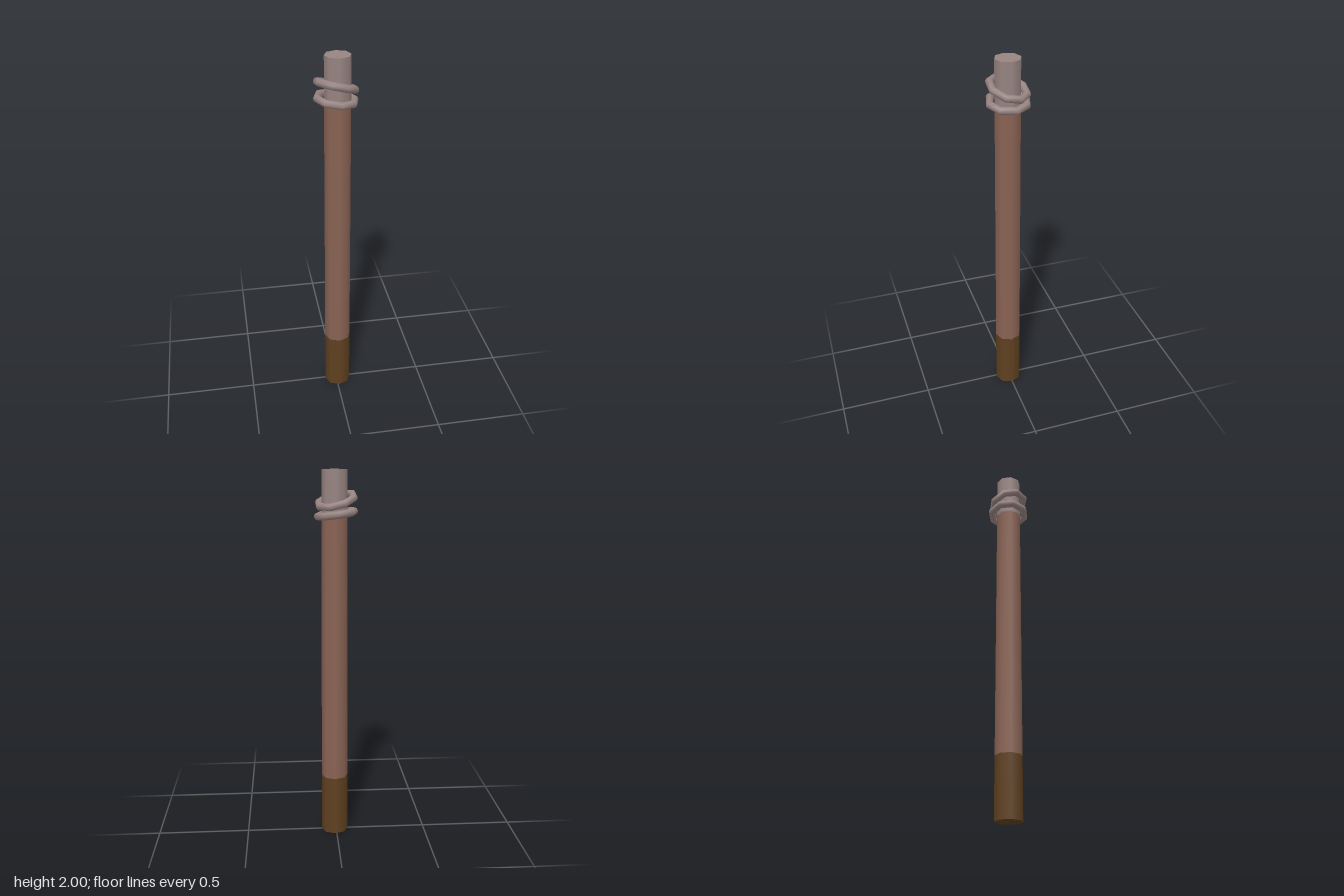
import * as THREE from 'three';

export function createModel() {
  const group = new THREE.Group();
  const paleWood = new THREE.MeshStandardMaterial({ color: 0x978481 });
  const brownWood = new THREE.MeshStandardMaterial({ color: 0x8a6354 });
  const darkWood = new THREE.MeshStandardMaterial({ color: 0x5f4020 });
  paleWood.name = 'pale greyish wood';
  brownWood.name = 'reddish brown wood';
  darkWood.name = 'dark brown wood';

  const add = (name, geometry, material) => {
    const mesh = new THREE.Mesh(geometry, material);
    mesh.name = name;
    group.add(mesh);
    return mesh;
  };

  // Eight-sided pole, tapering slightly, in three colour bands
  const radiusAt = (y) => 0.073 - 0.003 * y;
  const bands = [
    ['poleBase', 0, 0.33, darkWood],
    ['poleShaft', 0.33, 1.765, brownWood],
    ['poleTip', 1.765, 2, paleWood],
  ];
  for (const [name, y0, y1, material] of bands) {
    const geometry = new THREE.CylinderGeometry(radiusAt(y1), radiusAt(y0), y1 - y0, 8);
    add(name, geometry, material).position.set(0.008, (y0 + y1) / 2, 0.004);
  }

  // Two loose binding rings, tilted so that y falls by slopeX and slopeZ
  const up = new THREE.Vector3(0, 1, 0);
  const addRing = (name, y, slopeX, slopeZ, turn) => {
    const geometry = new THREE.TorusGeometry(0.097, 0.02, 8, 8);
    geometry.rotateX(Math.PI / 2).rotateY(turn);
    const ring = add(name, geometry, paleWood);
    ring.quaternion.setFromUnitVectors(up, new THREE.Vector3(slopeX, 1, slopeZ).normalize());
    ring.position.y = y;
  };
  addRing('upperRing', 1.845, 0.26, -0.26, Math.PI / 8);
  addRing('lowerRing', 1.776, 0.13, 0, 0.12);

  return group;
}
